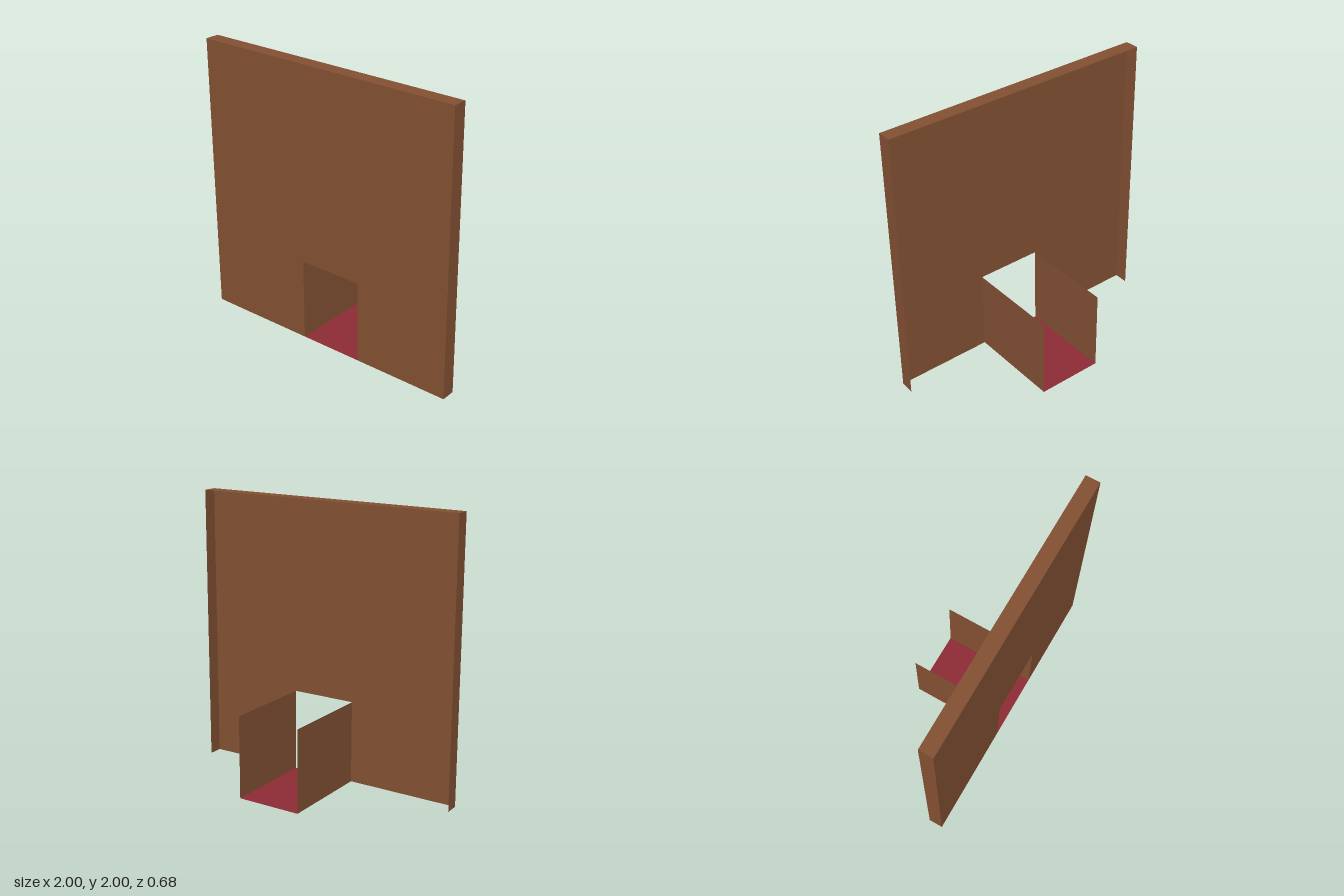
import * as THREE from 'three';

const brown = new THREE.MeshStandardMaterial({ name: 'brown wood', color: 0x845133, side: THREE.DoubleSide });
const red = new THREE.MeshStandardMaterial({ name: 'dark red floor', color: 0x8e2c36, side: THREE.DoubleSide });

// Main dimensions
const FRONT = 0.342, RIM = 0.24, BACK = -0.342;
const DOOR_LEFT = -0.18, DOOR_RIGHT = 0.293, DOOR_TOP = 0.593;

export function createModel() {
  const group = new THREE.Group();

  const add = (name, geometry, material) => {
    const mesh = new THREE.Mesh(geometry, material);
    mesh.name = name;
    group.add(mesh);
    return mesh;
  };

  // Upright sheet facing +x
  const sideSheet = (name, x, height, z0, z1) => {
    const g = new THREE.PlaneGeometry(z1 - z0, height).rotateY(Math.PI / 2);
    add(name, g, brown).position.set(x, height / 2, (z0 + z1) / 2);
  };

  // Level sheet facing +y
  const levelSheet = (name, x0, x1, y, z0, z1, material) => {
    const g = new THREE.PlaneGeometry(x1 - x0, z1 - z0).rotateX(-Math.PI / 2);
    add(name, g, material).position.set((x0 + x1) / 2, y, (z0 + z1) / 2);
  };

  // Front wall with the doorway cut out
  const wall = new THREE.Shape([
    [-1, 0], [DOOR_LEFT, 0], [DOOR_LEFT, DOOR_TOP], [DOOR_RIGHT, DOOR_TOP],
    [DOOR_RIGHT, 0], [1, 0], [1, 2], [-1, 2],
  ].map(([x, y]) => new THREE.Vector2(x, y)));
  add('frontWall', new THREE.ShapeGeometry(wall), brown).position.z = FRONT;

  // Rim turned back along the top and both sides
  levelSheet('topRim', -1, 1, 2, RIM, FRONT, brown);
  sideSheet('leftRim', 1, 2, RIM, FRONT);
  sideSheet('rightRim', -1, 2, RIM, FRONT);

  // Open passage behind the doorway
  sideSheet('passageLeftWall', DOOR_RIGHT, DOOR_TOP, BACK, FRONT);
  sideSheet('passageRightWall', DOOR_LEFT, DOOR_TOP, BACK, FRONT);
  levelSheet('passageFloor', DOOR_LEFT, DOOR_RIGHT, 0, BACK, FRONT, red);

  return group;
}
